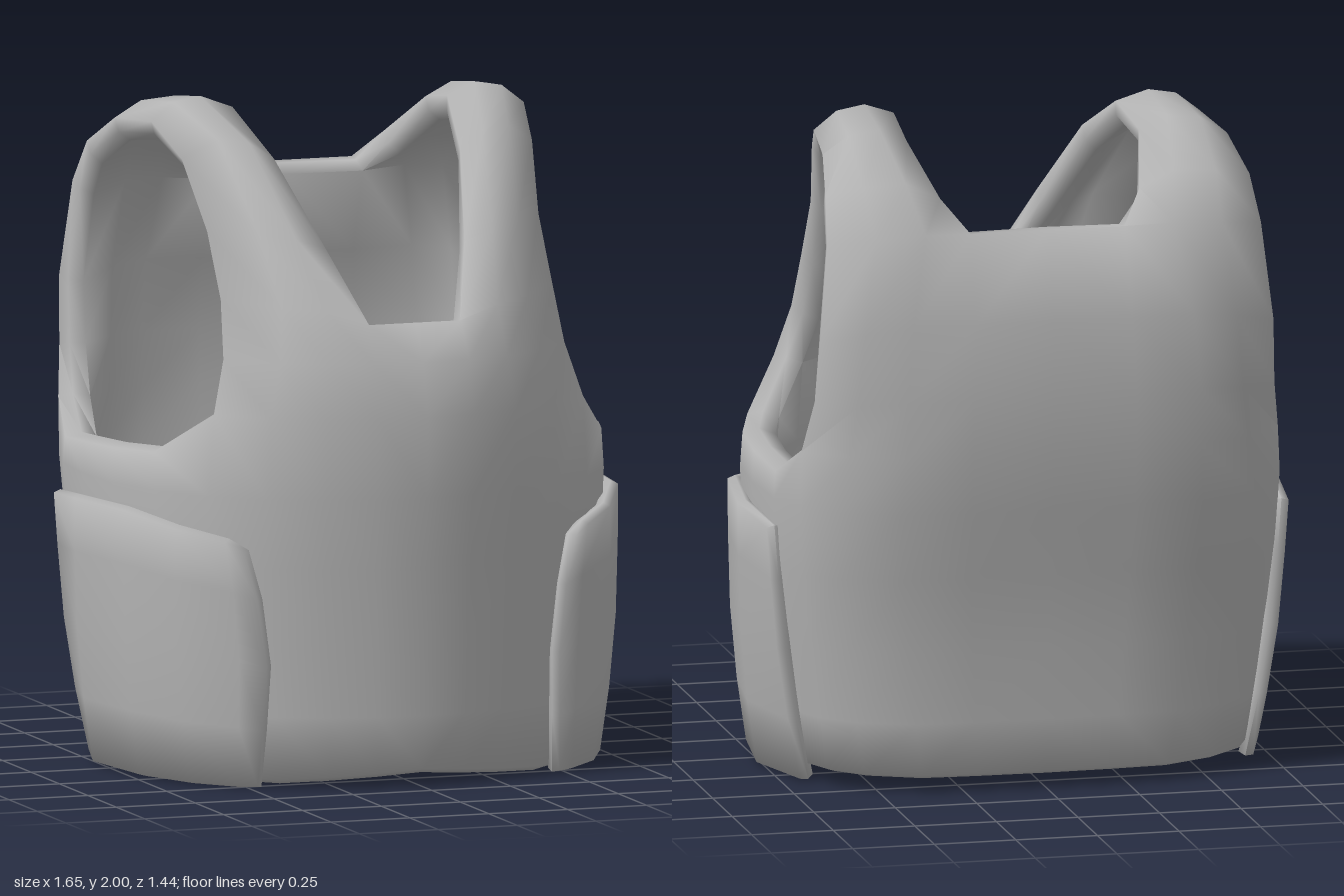
import * as THREE from 'three';
import { toCreasedNormals } from 'three/addons/utils/BufferGeometryUtils.js';

// Quads between neighbouring rows of points; null points leave a gap
function gridQuads(rows) {
  const quads = [];
  for (let r = 0; r < rows.length - 1; r++) {
    for (let c = 0; c < rows[r].length - 1; c++) {
      const q = [rows[r][c], rows[r][c + 1], rows[r + 1][c + 1], rows[r + 1][c]];
      if (q.every(Boolean)) quads.push(q);
    }
  }
  return quads;
}

const mirrorQuads = (quads) =>
  quads.map((q) => [q[0], q[3], q[2], q[1]].map(([x, y, z]) => [-x, y, z]));

// Turns a sheet of quads into a padded shell with a soft rim; thickness depends on height
function shell(quads, thicknessAt, bulge) {
  const ids = new Map(), outer = [];
  const weld = (p) => {
    const key = p.map((v) => Math.round(v * 1e4) + 0).join();
    if (!ids.has(key)) {
      ids.set(key, outer.length);
      outer.push(new THREE.Vector3(...p));
    }
    return ids.get(key);
  };
  const faces = quads.map((q) => q.map(weld));
  const sheet = new THREE.BufferGeometry().setFromPoints(outer);
  sheet.setIndex(faces.flatMap(([a, b, c, d]) => [a, b, c, a, c, d]));
  sheet.computeVertexNormals();
  const normals = outer.map((_, i) =>
    new THREE.Vector3().fromBufferAttribute(sheet.attributes.normal, i));

  // Open edges are those used in one direction only
  const edges = new Map();
  for (const f of faces) f.forEach((a, i) => edges.set(`${a},${f[(i + 1) % 4]}`, [a, f[(i + 1) % 4]]));
  const rim = [...edges.values()].filter(([a, b]) => !edges.has(`${b},${a}`));
  const push = outer.map(() => new THREE.Vector3());
  for (const [a, b] of rim) {
    const dir = outer[b].clone().sub(outer[a]).normalize();
    for (const i of [a, b]) push[i].add(dir.clone().cross(normals[i]));
  }

  const n = outer.length;
  const inner = outer.map((p, i) => p.clone().addScaledVector(normals[i], -thicknessAt(p.y)));
  const middle = outer.map((p, i) => p.clone().lerp(inner[i], 0.5)
    .addScaledVector(push[i].normalize(), bulge));
  const all = [...faces];
  for (const [a, b, c, d] of faces) all.push([a + n, d + n, c + n, b + n]);
  for (const [a, b] of rim) {
    all.push([b, a, a + 2 * n, b + 2 * n], [b + 2 * n, a + 2 * n, a + n, b + n]);
  }
  const geo = new THREE.BufferGeometry().setFromPoints([...outer, ...inner, ...middle]);
  geo.setIndex(all.flatMap(([a, b, c, d]) => [a, b, c, a, c, d]));
  return toCreasedNormals(geo, 1.5);
}

// Left half of the chest and strap, from the centre or neck edge to the armhole
const FRONT = [
  [[0, 1.12, 0.72], [0.15, 1.12, 0.7], [0.3, 1.12, 0.66], [0.45, 1.12, 0.58], [0.585, 1.12, 0.455]],
  [[0, 1.28, 0.675], [0.15, 1.28, 0.665], [0.28, 1.28, 0.635], [0.41, 1.28, 0.56], [0.54, 1.28, 0.415]],
  [[0, 1.39, 0.6], [0.145, 1.39, 0.6], [0.27, 1.43, 0.58], [0.39, 1.44, 0.51], [0.525, 1.45, 0.35]],
  [null, [0.22, 1.6, 0.425], [0.31, 1.63, 0.42], [0.41, 1.64, 0.37], [0.525, 1.64, 0.23]],
  [null, [0.295, 1.84, 0.18], [0.37, 1.89, 0.17], [0.46, 1.9, 0.145], [0.555, 1.84, 0.09]],
  [null, [0.34, 1.965, -0.06], [0.435, 2.0, -0.08], [0.52, 1.985, -0.08], [0.59, 1.93, -0.08]],
];
// The strap and back, running down from the shoulder
const BACK = [
  [null, [0.355, 1.93, -0.29], [0.44, 1.97, -0.3], [0.54, 1.96, -0.31], [0.62, 1.91, -0.32]],
  [null, [0.305, 1.8, -0.51], [0.41, 1.85, -0.51], [0.54, 1.845, -0.51], [0.65, 1.82, -0.48]],
  [[0, 1.71, -0.61], [0.235, 1.71, -0.61], [0.38, 1.72, -0.64], [0.53, 1.71, -0.635], [0.665, 1.69, -0.565]],
  [[0, 1.45, -0.7], [0.24, 1.45, -0.7], [0.43, 1.45, -0.695], [0.57, 1.43, -0.665], [0.695, 1.4, -0.6]],
  [[0, 1.22, -0.72], [0.25, 1.22, -0.715], [0.45, 1.22, -0.7], [0.59, 1.21, -0.655], [0.705, 1.2, -0.57]],
  [[0, 1.05, -0.715], [0.25, 1.05, -0.71], [0.45, 1.05, -0.7], [0.61, 1.05, -0.63], [0.73, 1.05, -0.51]],
];
// Bottom of the armhole
const UNDERARM = [[0.71, 0.99, 0.27], [0.77, 0.98, 0.08], [0.785, 0.97, -0.13], [0.77, 0.955, -0.34]];

// Half outline of the waist [x, z], front centre to back centre
const WAIST = [
  [0, 0.71], [0.15, 0.69], [0.3, 0.65], [0.46, 0.58], [0.6, 0.45],
  [0.71, 0.29], [0.775, 0.09], [0.79, -0.13], [0.775, -0.35],
  [0.73, -0.51], [0.64, -0.61], [0.46, -0.69], [0.25, -0.7], [0, -0.705],
];
// Height, width scale, front depth scale, back depth scale, narrowing of the back corners
const WAIST_ROWS = [
  [0.04, 0.91, 0.945, 0.85, 0.1], [0.2, 0.935, 0.955, 0.865, 0.07], [0.42, 0.965, 0.968, 0.885, 0.04],
  [0.65, 0.99, 0.985, 0.93, 0.01], [0.86, 1, 1.005, 0.985, 0],
];

function bodyQuads() {
  const rings = WAIST_ROWS.map(([y, sx, sf, sb, tuck], r) => WAIST.map(([x, z]) => {
    // The hem dips beside the front centre
    const dip = r === 0 && z > 0 ? 0.03 * Math.min(1, x / 0.45) : 0;
    const narrow = z < 0 ? 1 - tuck * (z / 0.7) ** 2 : 1;
    return [x * sx * narrow, y + 0.015 - dip, z * (z > 0 ? sf : sb)];
  }));
  rings.push([...FRONT[0], ...UNDERARM, ...[...BACK[BACK.length - 1]].reverse()]);
  return [...gridQuads(rings), ...gridQuads([...FRONT, ...BACK])];
}

// Side pad outline [x, z, top height], front edge to back edge
const PAD = [
  [0.525, 0.56, 0.715], [0.575, 0.53, 0.745], [0.69, 0.405, 0.775],
  [0.785, 0.21, 0.81], [0.827, -0.1, 0.805], [0.8, -0.355, 0.785],
];
// Share of the height, width scale, depth scale, shift of the front edge
const PAD_ROWS = [
  [0.012, 0.93, 0.965, -0.01], [0.25, 0.965, 0.985, -0.035], [0.52, 0.99, 1, -0.055],
  [0.8, 0.998, 1, -0.035], [1, 1, 1, 0],
];

function padQuads() {
  return gridQuads(PAD_ROWS.map(([v, sx, sz, shift]) => PAD.map(([x, z, top], c) => {
    const s = c === 0 ? shift : c === 1 ? shift * 0.6 : 0;
    // The back edge settles into the vest towards the hem
    const settle = c === PAD.length - 1 ? 0.05 * (1 - v) : 0;
    return [x * sx + s - settle, top * v, z * sz - s * 0.45];
  })));
}

export function createModel() {
  const group = new THREE.Group();
  group.name = 'paddedVest';
  const grey = new THREE.MeshStandardMaterial({ color: 0xb4b4b4 });
  grey.name = 'grey';
  const add = (name, geometry) => {
    const mesh = new THREE.Mesh(geometry, grey);
    mesh.name = name;
    group.add(mesh);
  };

  // Padding is thickest at the chest and thin at the hem
  const body = bodyQuads();
  const padding = (y) => 0.1 - 0.05 * ((y - 1.2) / 1.2) ** 2;
  add('vestBody', shell([...body, ...mirrorQuads(body)], padding, 0.015));

  const pad = padQuads();
  add('leftSidePad', shell(pad, () => 0.045, 0.01));
  add('rightSidePad', shell(mirrorQuads(pad), () => 0.045, 0.01));
  return group;
}
